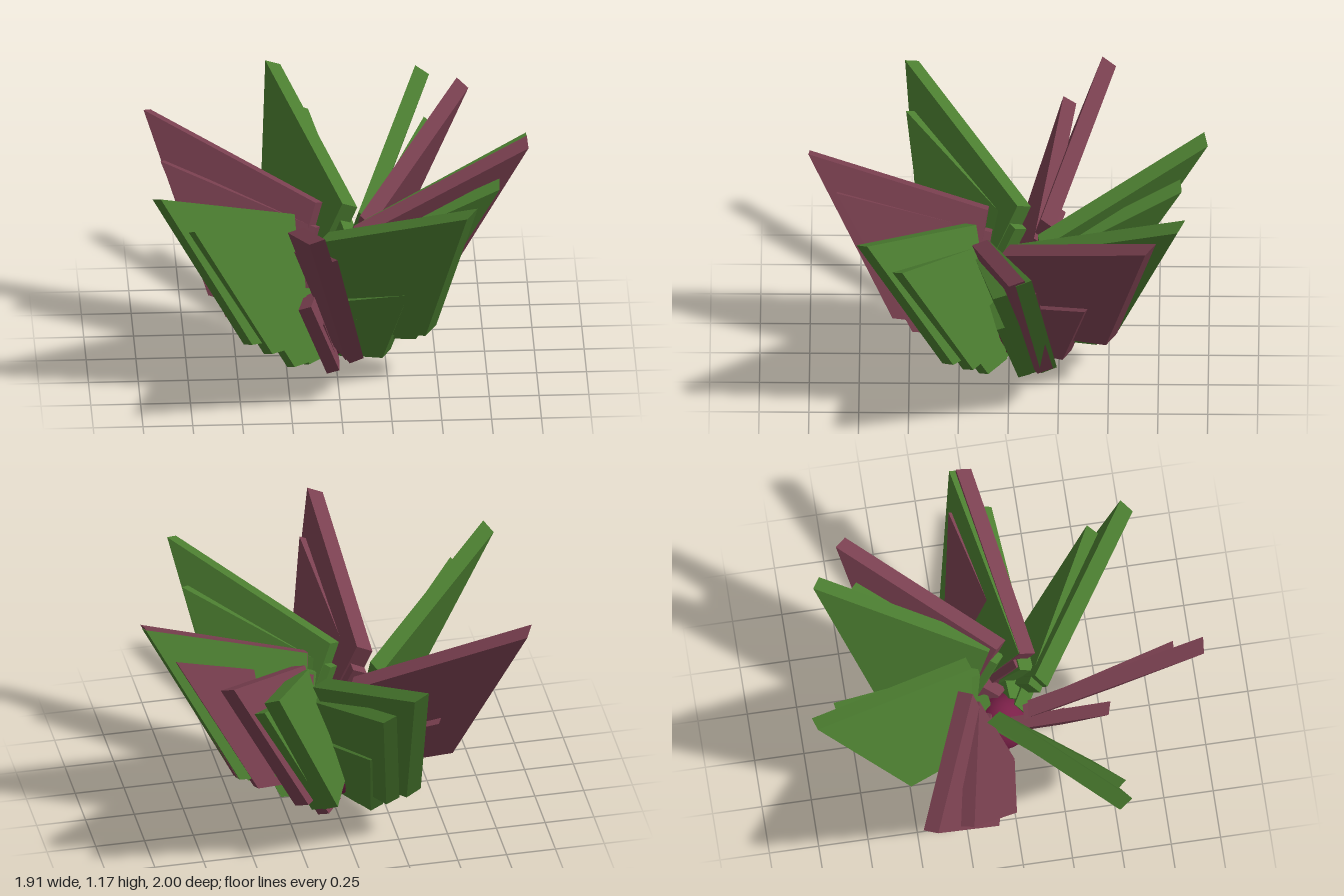
import * as THREE from 'three';
import { ConvexGeometry } from 'three/addons/geometries/ConvexGeometry.js';

const mat = (name, color) => {
  const m = new THREE.MeshStandardMaterial({ color });
  m.name = name;
  return m;
};

// Kite-shaped slab standing in a leaning, near-radial plane.
// outline: [radius, height] corners; k: size factor of the sideways lean
function leafGeometry(outline, k, thickness) {
  const across = new THREE.Vector3(0, 0.38, -0.92).multiplyScalar(thickness / 2);
  const points = [];
  for (const [r, y] of outline) {
    const p = new THREE.Vector3(r, y, -(0.072 * k + 0.313 * r - 0.346 * y));
    points.push(p.clone().add(across), p.clone().sub(across));
  }
  return new ConvexGeometry(points);
}

export function createModel() {
  const model = new THREE.Group();
  model.name = 'succulent';
  const green = mat('leaf green', 0x4b7d30);
  const plum = mat('dusky plum', 0x7a4050);
  const magenta = mat('dark magenta', 0x7a2048);

  const plant = new THREE.Group();
  plant.name = 'rosette';
  plant.position.x = -0.04;
  model.add(plant);

  // Rounded heart of the rosette
  const heart = new THREE.Mesh(new THREE.SphereGeometry(0.14, 24, 16), magenta);
  heart.name = 'heart';
  heart.scale.y = 1.35;
  heart.position.y = 0.19;
  plant.add(heart);

  // Leaf rings: outline order is tip, inner corner, base, outer corner
  const rings = [
    {
      name: 'largeLeaf', k: 1, thickness: 0.085,
      outline: [[1.01, 1.15], [0.12, 0.76], [0.2, 0.19], [0.57, 0.28]],
      leaves: [[103.5, green], [59.7, green], [45.6, plum], [3.2, plum], [5.2, green],
        [-46, green], [-95, plum], [-150, green], [-208.7, plum]],
    },
    {
      name: 'middleLeaf', k: 0.84, thickness: 0.075,
      outline: [[0.865, 0.96], [0.09, 0.64], [0.18, 0.15], [0.48, 0.21]],
      leaves: [[96, green], [51, green], [7.5, plum], [-2.5, green],
        [-40, green], [-91.5, plum], [-145, green], [160, plum]],
    },
    {
      name: 'smallLeaf', k: 0.5, thickness: 0.07,
      outline: [[0.54, 0.53], [0.05, 0.36], [0.11, 0.035], [0.3, 0.065]],
      leaves: [[97, green], [46, plum], [-5, green], [-43, green],
        [-107, plum], [-147, green], [150, plum]],
    },
    {
      name: 'tinyLeaf', k: 0.3, thickness: 0.05,
      outline: [[0.31, 0.32], [0.03, 0.23], [0.05, 0.02], [0.18, 0.03]],
      leaves: [[100, green], [50, plum], [3, green], [-42, green],
        [-101, plum], [-145, green], [155, plum]],
    },
  ];

  for (const ring of rings) {
    const geometry = leafGeometry(ring.outline, ring.k, ring.thickness);
    ring.leaves.forEach(([degrees, material], i) => {
      const leaf = new THREE.Mesh(geometry, material);
      leaf.name = `${ring.name}${i + 1}`;
      leaf.rotation.y = THREE.MathUtils.degToRad(degrees);
      plant.add(leaf);
    });
  }
  return model;
}
